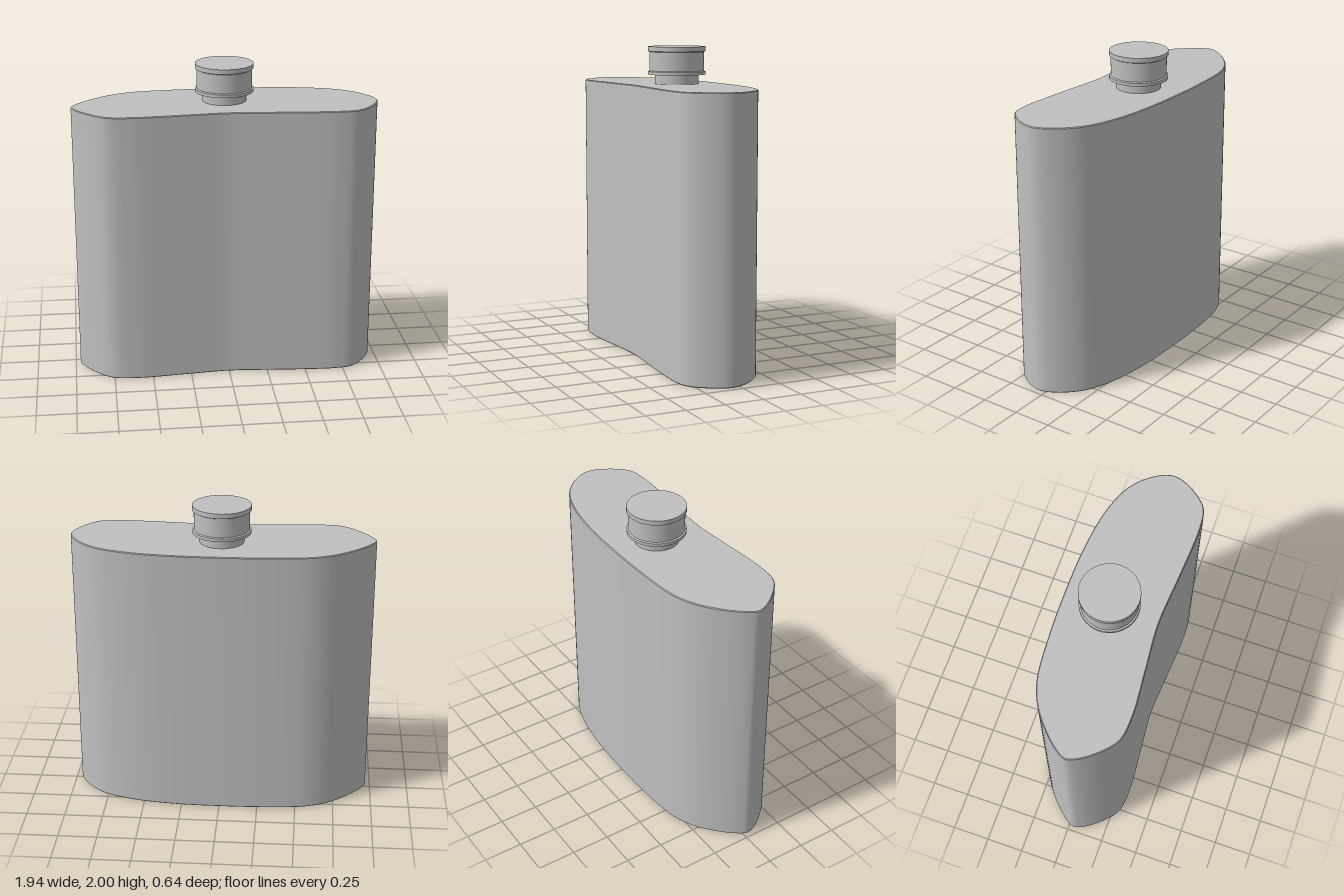
import * as THREE from 'three';
import { toCreasedNormals } from 'three/addons/utils/BufferGeometryUtils.js';

const steel = new THREE.MeshStandardMaterial({ color: 0xc0c0c0 });
steel.name = 'brushed steel';

function addPart(group, name, geometry) {
  const mesh = new THREE.Mesh(toCreasedNormals(geometry, 0.6), steel);
  mesh.name = name;
  group.add(mesh);
  return mesh;
}

export function createModel() {
  const flask = new THREE.Group();
  flask.name = 'hipFlask';

  // Curved body: kidney-shaped plan (x, z) extruded upwards
  const plan = [
    [-0.97, 0.03], [-0.94, -0.03], [-0.85, -0.13], [-0.72, -0.23], [-0.57, -0.29], [-0.3, -0.318],
    [0, -0.325], [0.3, -0.316], [0.58, -0.277], [0.78, -0.205], [0.9, -0.1], [0.965, 0.02],
    [0.96, 0.1], [0.89, 0.225], [0.81, 0.295], [0.7, 0.314], [0.55, 0.312], [0.3, 0.295],
    [0, 0.275], [-0.3, 0.297], [-0.6, 0.317], [-0.76, 0.295], [-0.87, 0.205], [-0.95, 0.095],
  ];
  const curve = new THREE.CatmullRomCurve3(
    plan.map(([x, z]) => new THREE.Vector3(x, -z, 0)).reverse(), true, 'centripetal');
  const outline = curve.getPoints(144).slice(0, -1).map(p => new THREE.Vector2(p.x, p.y));
  const height = 1.76, bevel = 0.005;
  const body = new THREE.ExtrudeGeometry(new THREE.Shape(outline), {
    depth: height - 2 * bevel, steps: 1, bevelEnabled: true,
    bevelThickness: bevel, bevelSize: bevel, bevelOffset: -bevel, bevelSegments: 1,
  });
  body.translate(0, 0, bevel);
  body.rotateX(-Math.PI / 2);
  addPart(flask, 'body', body);

  // Neck and screw cap, turned about one axis
  const turned = (name, profile) => {
    const points = profile.map(([r, y]) => new THREE.Vector2(r, y));
    addPart(flask, name, new THREE.LatheGeometry(points, 64)).position.z = -0.035;
  };
  turned('neck', [[0.14, 1.75], [0.14, 1.825]]);
  turned('cap', [
    [0, 1.82], [0.185, 1.82], [0.185, 1.84], [0.175, 1.845],
    [0.175, 1.965], [0.185, 1.97], [0.185, 2], [0, 2],
  ]);

  return flask;
}
